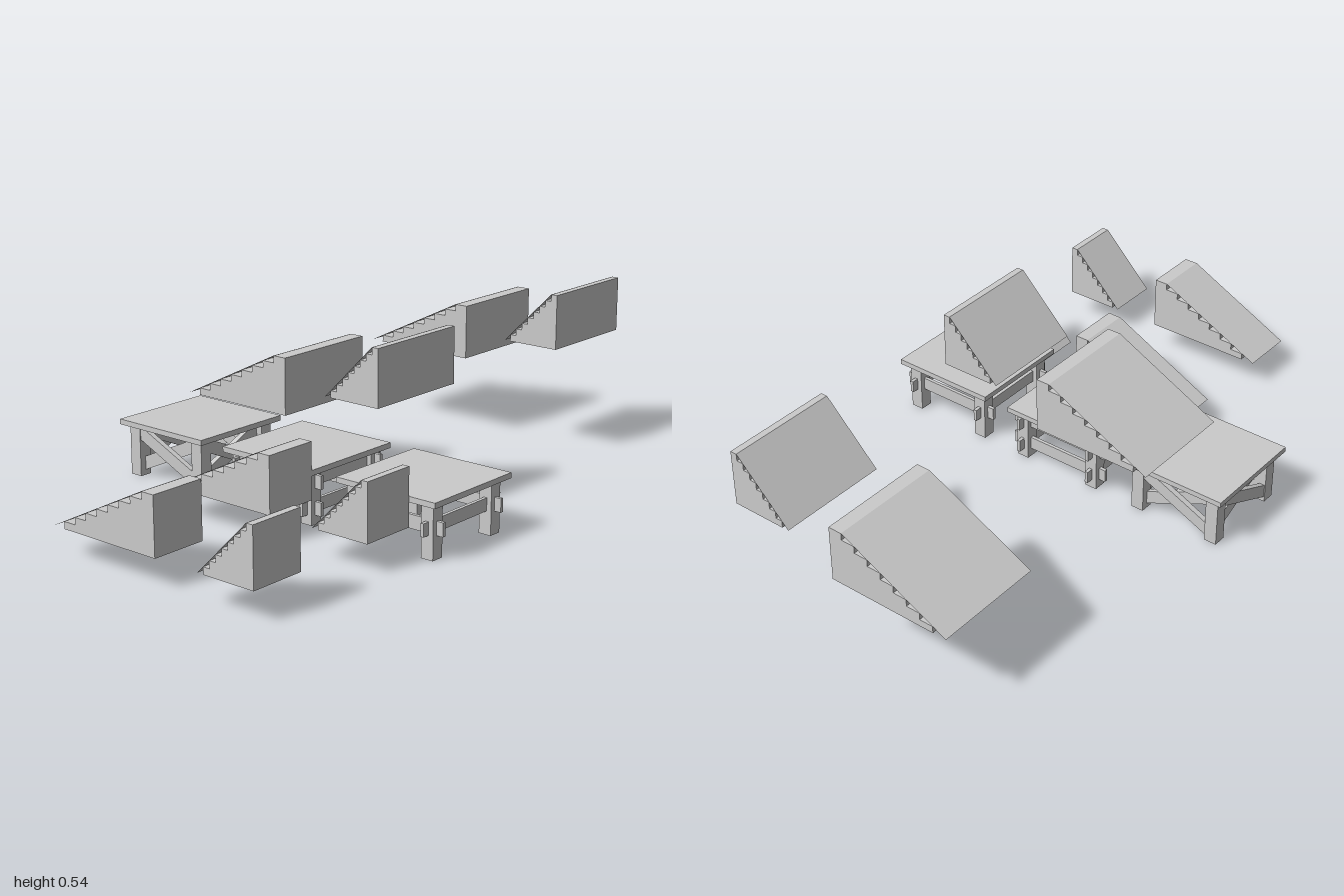
import * as THREE from 'three';

const grey = new THREE.MeshStandardMaterial({ color: 0xcccccc, flatShading: true });
const thin = new THREE.MeshStandardMaterial({ color: 0xcccccc, flatShading: true, side: THREE.DoubleSide });

const SIZE = 0.355;   // table width and depth
const TABLE_Z = 0.199;
const LEG = 0.042;
const TOP_Y = 0.163;  // underside of the table top
const STEPS = 8;

function box(name, parent, w, h, d, x, y, z) {
  const mesh = new THREE.Mesh(new THREE.BoxGeometry(w, h, d), grey);
  mesh.name = name;
  mesh.position.set(x, y, z);
  parent.add(mesh);
}

// Table top on four square legs, centred on its own origin
function tableBase(name, x, legOffset) {
  const table = new THREE.Group();
  table.name = name;
  table.position.set(x, 0, TABLE_Z);
  box('tableTop', table, SIZE, 0.017, SIZE, 0, TOP_Y + 0.0085, 0);
  for (const sx of [-1, 1])
    for (const sz of [-1, 1])
      box('leg', table, LEG, TOP_Y, LEG, sx * legOffset, TOP_Y / 2, sz * legOffset);
  return table;
}

// Table with thin rails that run through the legs at each given height
function railTable(name, x, legOffset, heights) {
  const table = tableBase(name, x, legOffset);
  for (const y of heights)
    for (const s of [-1, 1]) {
      box('longRail', table, SIZE, 0.042, 0.011, 0, y, s * legOffset);
      box('crossRail', table, 0.011, 0.04, SIZE, s * legOffset, y, 0);
    }
  return table;
}

// Table with a pair of crossed braces on each side
function braceTable(name, x, legOffset) {
  const table = tableBase(name, x, legOffset);
  const half = legOffset - LEG / 2, thick = 0.018;
  const braceGeometry = (dir) => {
    const yl = 0.09 + dir * 0.051, yr = 0.09 - dir * 0.051, h = 0.022;
    const shape = new THREE.Shape([
      new THREE.Vector2(-half, yl - h), new THREE.Vector2(half, yr - h),
      new THREE.Vector2(half, yr + h), new THREE.Vector2(-half, yl + h),
    ]);
    return new THREE.ExtrudeGeometry(shape, { depth: thick, bevelEnabled: false });
  };
  const falling = braceGeometry(1), rising = braceGeometry(-1);
  for (let i = 0; i < 4; i++) {
    const side = new THREE.Group();
    side.name = 'crossBraces';
    side.rotation.y = i * Math.PI / 2;
    const front = new THREE.Mesh(falling, grey);
    front.name = 'outerBrace';
    front.position.z = legOffset;
    const back = new THREE.Mesh(rising, grey);
    back.name = 'innerBrace';
    back.position.z = legOffset - thick;
    side.add(front, back);
    table.add(side);
  }
  return table;
}

// Solid stair rising towards +x, with a thin ramp sheet lying on the step edges
function stair(name, x0, y0, z0, run, rise, width) {
  const group = new THREE.Group();
  group.name = name;
  group.position.set(x0, y0, z0);
  const dx = run / STEPS, dy = rise / STEPS;
  const shape = new THREE.Shape();
  shape.moveTo(0, 0);
  shape.lineTo(run, 0);
  shape.lineTo(run, rise);
  for (let i = STEPS - 1; i >= 0; i--) {
    shape.lineTo(i * dx, (i + 1) * dy);
    if (i > 0) shape.lineTo(i * dx, i * dy);
  }
  const steps = new THREE.Mesh(
    new THREE.ExtrudeGeometry(shape, { depth: width, bevelEnabled: false }), grey);
  steps.name = 'steps';

  const length = Math.hypot(run, rise);
  const sheet = new THREE.PlaneGeometry(length, width);
  sheet.rotateX(-Math.PI / 2);
  sheet.rotateZ(Math.atan2(rise, run));
  const ramp = new THREE.Mesh(sheet, thin);
  ramp.name = 'ramp';
  ramp.position.set(run / 2 - dx, rise / 2 + 0.0005, width / 2);
  group.add(steps, ramp);
  return group;
}

export function createModel() {
  const model = new THREE.Group();
  model.name = 'tablesAndStairs';

  model.add(
    braceTable('braceTable', -0.446, 0.134),
    railTable('doubleRailTable', 0, 0.134, [0.05, 0.132]),
    railTable('singleRailTable', 0.445, 0.134, [0.092]),
  );

  // Wide stairs at the back, narrow ones at the front; shallow and steep of each
  for (const z of [-1, -0.112]) {
    model.add(stair('wideShallowStair', -0.402, 0.27, z, 0.356, 0.177, 0.355));
    model.add(stair('wideSteepStair', 0.133, 0.358, z, 0.177, 0.177, 0.355));
  }
  for (const z of [0.377, 0.822]) {
    model.add(stair('narrowShallowStair', -0.179, 0.09, z, 0.356, 0.177, 0.178));
    model.add(stair('narrowSteepStair', 0.356, 0.09, z, 0.177, 0.177, 0.178));
  }
  return model;
}
